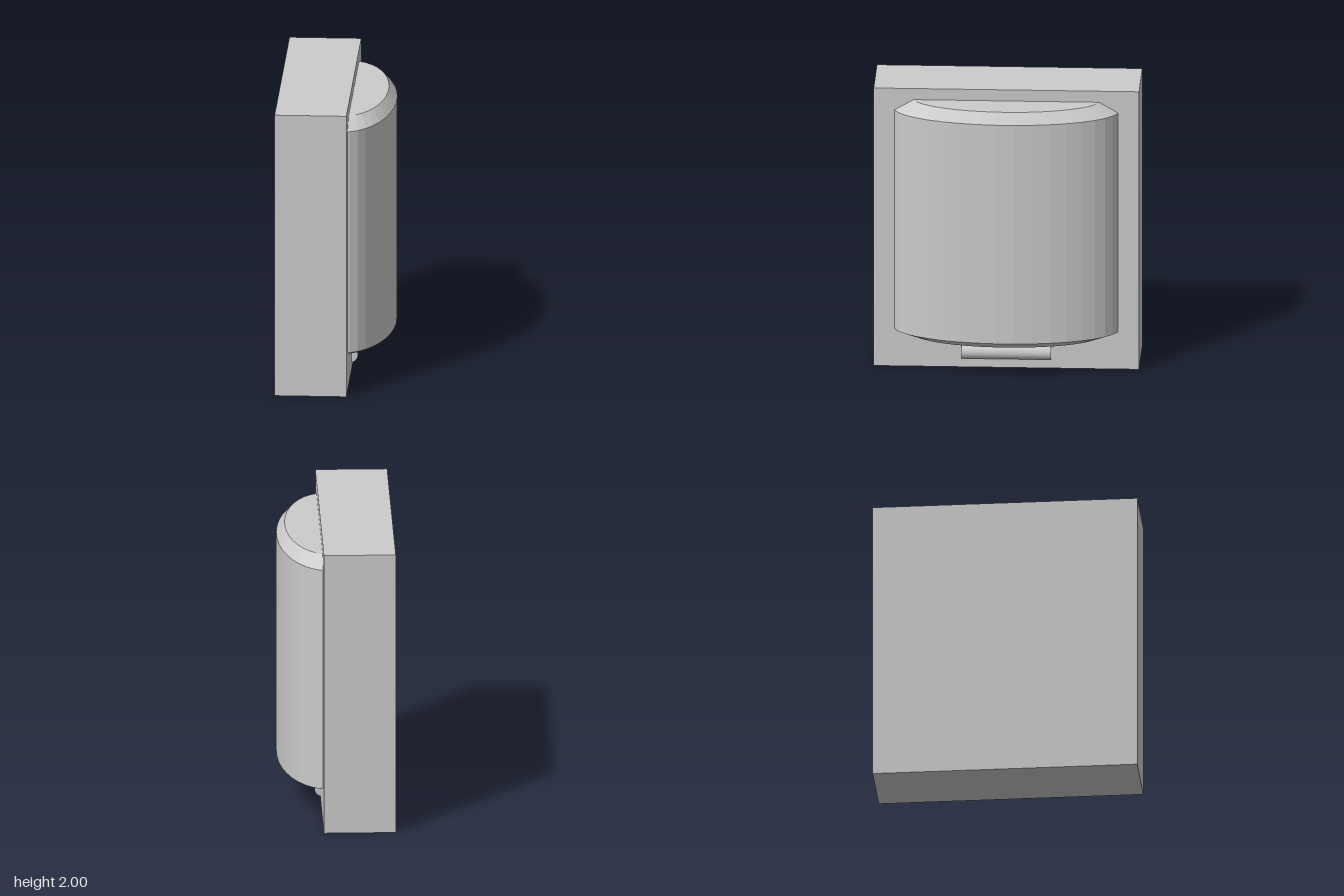
import * as THREE from 'three';

export function createModel() {
  const group = new THREE.Group();
  const smooth = new THREE.MeshStandardMaterial({ color: 0xcccccc });
  const faceted = new THREE.MeshStandardMaterial({ color: 0xcccccc, flatShading: true });

  const add = (name, geometry, material, x, y, z) => {
    const mesh = new THREE.Mesh(geometry, material);
    mesh.name = name;
    mesh.position.set(x, y, z);
    group.add(mesh);
    return mesh;
  };

  // Flat rectangular housing
  add('housing', new THREE.BoxGeometry(0.49, 2, 1.81), faceted, -0.15, 1, 0);

  // Bulging cover: half an elliptical drum with bevelled ends, sunk into the housing
  const profile = [
    [0, 0.225], [0.833, 0.225], [1, 0.27], [1, 1.845], [0.833, 1.92], [0, 1.92],
  ].map(([r, y]) => new THREE.Vector2(r, y));
  const drum = new THREE.LatheGeometry(profile, 19, 0, Math.PI);
  drum.scale(0.338, 1, 0.77);
  add('cover', drum, faceted, 0.052, 0, 0);

  // Small round bar below the cover
  const bar = new THREE.CylinderGeometry(0.055, 0.055, 0.61, 32);
  bar.rotateX(Math.PI / 2);
  add('bar', bar, smooth, 0.085, 0.115, 0);

  return group;
}
